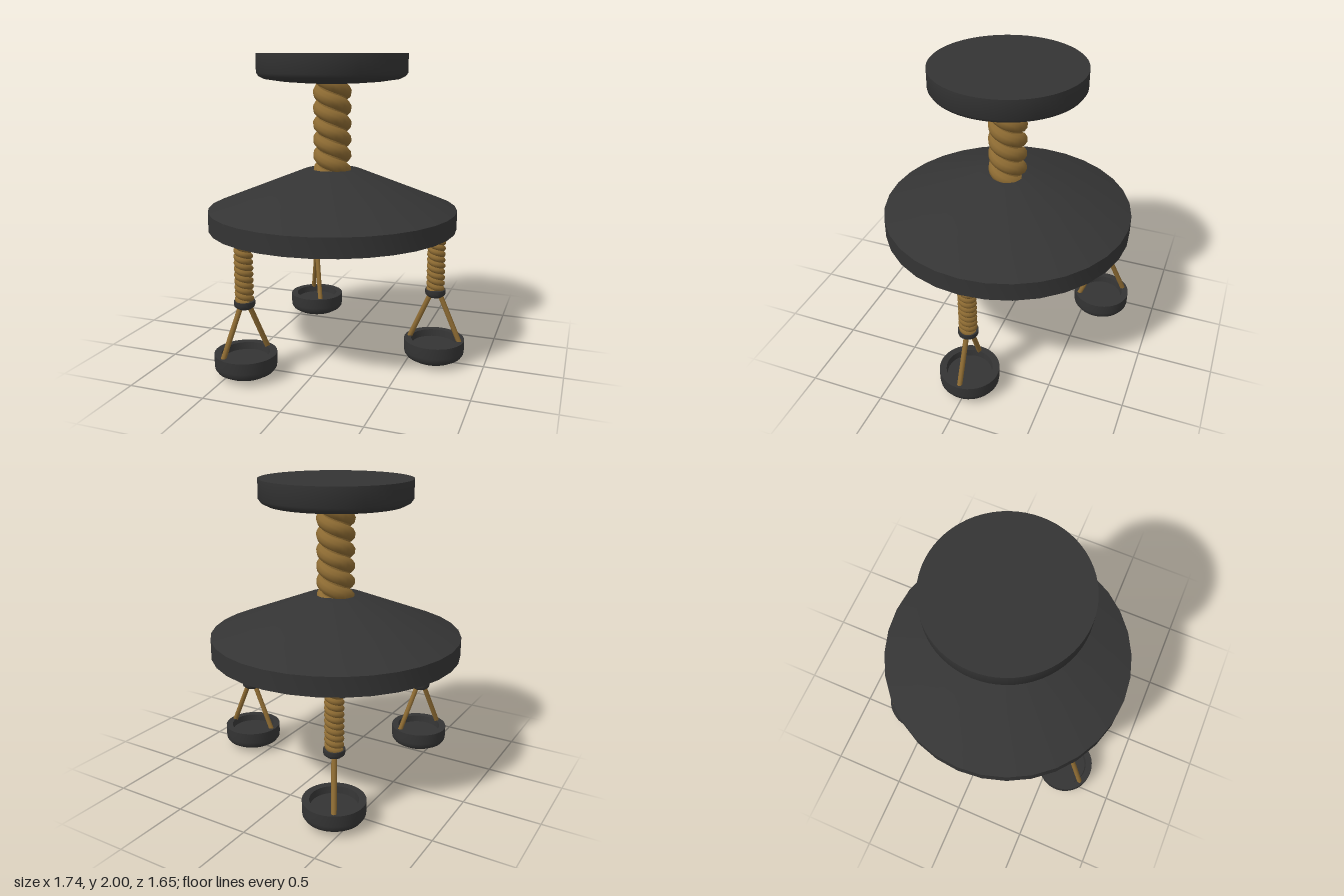
import * as THREE from 'three';
import { toCreasedNormals } from 'three/addons/utils/BufferGeometryUtils.js';

const dark = new THREE.MeshStandardMaterial({ color: 0x343434 });
dark.name = 'charcoal';
const brass = new THREE.MeshStandardMaterial({ color: 0x8c6a32 });
brass.name = 'bronze';

function part(name, geometry, material) {
  const mesh = new THREE.Mesh(geometry, material);
  mesh.name = name;
  return mesh;
}

// Turned solid from a bottom-to-top profile of [radius, height] pairs
function turned(name, profile, sides) {
  const points = profile.map(([r, y]) => new THREE.Vector2(r, y));
  return part(name, toCreasedNormals(new THREE.LatheGeometry(points, sides), 0.65), dark);
}

class Helix extends THREE.Curve {
  constructor(radius, y0, y1, pitch, phase) {
    super();
    Object.assign(this, { radius, y0, y1, pitch, phase });
  }
  getPoint(t, target = new THREE.Vector3()) {
    const y = this.y0 + (this.y1 - this.y0) * t;
    const a = this.phase - ((y - this.y0) / this.pitch) * Math.PI * 2;
    return target.set(Math.sin(a) * this.radius, y, Math.cos(a) * this.radius);
  }
}

// Twin-strand twisted column around a solid core
function twist(name, outer, strand, y0, y1, pitch) {
  const group = new THREE.Group();
  group.name = name;
  const steps = Math.ceil(((y1 - y0) / pitch) * 32);
  for (let i = 0; i < 2; i++) {
    const path = new Helix(outer - strand, y0, y1, pitch, i * Math.PI);
    group.add(part('strand', new THREE.TubeGeometry(path, steps, strand, 10), brass));
  }
  const core = part('core', new THREE.CylinderGeometry(outer * 0.74, outer * 0.74, y1 - y0, 24), brass);
  core.position.y = (y0 + y1) / 2;
  group.add(core);
  return group;
}

// Straight round rod between two points
function rod(name, a, b, radius) {
  const dir = b.clone().sub(a);
  const mesh = part(name, new THREE.CylinderGeometry(radius, radius, dir.length(), 12), brass);
  mesh.position.copy(a).add(b).multiplyScalar(0.5);
  mesh.quaternion.setFromUnitVectors(new THREE.Vector3(0, 1, 0), dir.normalize());
  return mesh;
}

// Leg: twisted post, collar, forked rods and dished foot
function leg() {
  const group = new THREE.Group();
  group.name = 'leg';
  group.add(twist('legPost', 0.06, 0.02, 0.48, 0.875, 0.078));
  group.add(turned('collar', [[0, 0.445], [0.045, 0.445], [0.063, 0.46], [0.066, 0.47],
    [0.066, 0.495], [0, 0.495]], 32));
  for (const s of [-1, 1]) {
    group.add(rod('forkRod', new THREE.Vector3(s * 0.172, 0.135, 0),
      new THREE.Vector3(s * 0.026, 0.47, 0), 0.017));
  }
  group.add(turned('foot', [[0, 0], [0.08, 0.005], [0.14, 0.019], [0.18, 0.042], [0.194, 0.062],
    [0.197, 0.085], [0.197, 0.155], [0.152, 0.155], [0.146, 0.11], [0, 0.11]], 40));
  return group;
}

export function createModel() {
  const model = new THREE.Group();
  model.name = 'pedestal';
  const body = new THREE.Group();
  body.name = 'body';
  body.position.x = -0.045;
  model.add(body);

  // Conical table and top plate
  body.add(turned('coneTable', [[0, 0.865], [0.825, 0.865], [0.825, 0.99], [0.19, 1.245], [0, 1.245]], 32));
  body.add(twist('centralColumn', 0.127, 0.047, 1.2, 1.85, 0.205));
  body.add(turned('topPlate', [[0, 1.81], [0.2, 1.812], [0.33, 1.822], [0.44, 1.838],
    [0.475, 1.856], [0.49, 1.878], [0.49, 2], [0, 2]], 64));

  // Three legs evenly around the axis
  for (let i = 0; i < 3; i++) {
    const arm = new THREE.Group();
    arm.name = 'legMount';
    arm.rotation.y = (i * Math.PI * 2) / 3;
    const l = leg();
    l.position.x = 0.714;
    arm.add(l);
    body.add(arm);
  }
  return model;
}
